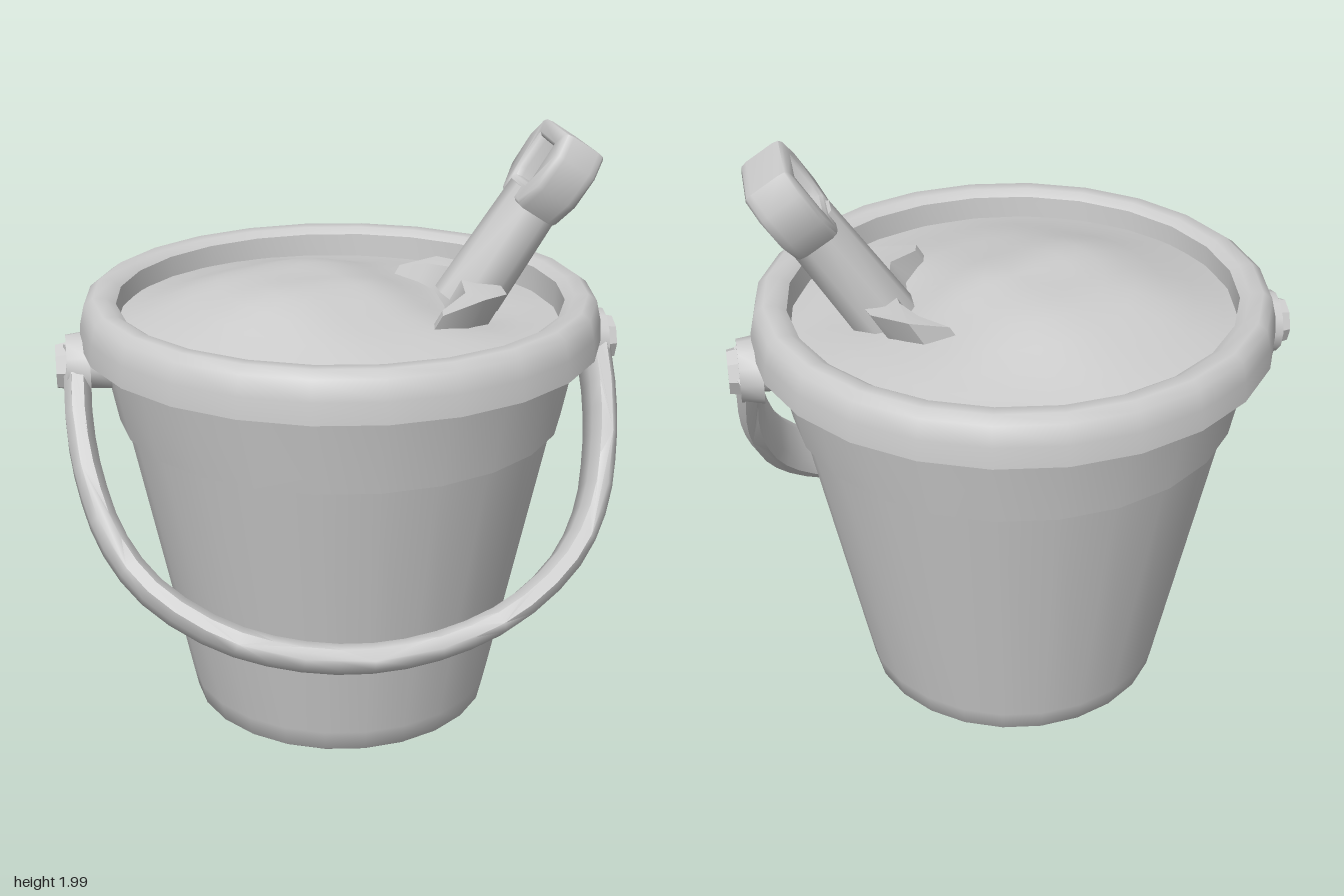
import * as THREE from 'three';
import { toCreasedNormals } from 'three/addons/utils/BufferGeometryUtils.js';

export function createModel() {
  const root = new THREE.Group();
  const mat = new THREE.MeshStandardMaterial({ color: 0xcccccc });
  mat.name = 'plain grey';

  function add(parent, name, geo, crease = 0.7) {
    const mesh = new THREE.Mesh(toCreasedNormals(geo, crease), mat);
    mesh.name = name;
    parent.add(mesh);
    return mesh;
  }
  const v2 = (pts) => pts.map(([x, y]) => new THREE.Vector2(x, y));

  // Bucket: shallow recessed base, tapered wall, stepped band, thick rim, inner wall
  add(root, 'bucket', new THREE.LatheGeometry(v2([
    [0, 0.04], [0.495, 0.04], [0.505, 0.012], [0.515, 0.02], [0.53, 0.09],
    [0.73, 1.06], [0.75, 1.06], [0.805, 1.335], [0.87, 1.33], [0.865, 1.4],
    [0.85, 1.465], [0.82, 1.487], [0.775, 1.485], [0.745, 1.465], [0.735, 1.3],
  ]), 24), 0.9);

  // Sand: a dome whose top sits left of centre, rippled, dipping at the spade
  const sand = new THREE.LatheGeometry(v2([
    [0.75, 1], [0.7, 1], [0.6, 1], [0.5, 1], [0.4, 1], [0.3, 1], [0.2, 1], [0.1, 1], [0, 1],
  ]), 32);
  const p = sand.attributes.position;
  for (let i = 0; i < p.count; i++) {
    const x = p.getX(i), z = p.getZ(i);
    const r2 = (x * x + z * z) / 0.5625;
    const d2 = ((x + 0.15) ** 2 + z * z) / 0.5625;
    const dip = 0.05 * Math.exp(-((x - 0.42) ** 2 + (z - 0.05) ** 2) / 0.06);
    const ripple = 0.012 * Math.sin(9 * x + 4 * z) * Math.cos(11 * z - 3 * x);
    p.setY(i, 1.37 + 0.165 * Math.exp(-1.5 * d2) * (1 - r2 * r2 * 0.6) + (ripple - dip) * (1 - r2));
  }
  add(root, 'sand', sand, 1);

  // Swinging handle: a broad bowed strap hanging forward from the pivots
  const half = [[0.88, 0.03], [0.885, -0.2], [0.86, -0.4], [0.8, -0.6],
    [0.68, -0.78], [0.48, -0.93], [0.25, -1.015]];
  const arc = new THREE.SplineCurve(v2([
    ...half, [0, -1.045], ...half.slice().reverse().map(([x, y]) => [-x, y]),
  ]));
  const outer = [], inner = [];
  for (let i = 0; i <= 32; i++) {
    const c = arc.getPoint(i / 32), t = arc.getTangent(i / 32);
    const n = new THREE.Vector2(-t.y, t.x);
    outer.push(c.clone().addScaledVector(n, 0.02));
    inner.unshift(c.clone().addScaledVector(n, -0.02));
  }
  const bar = new THREE.ExtrudeGeometry(new THREE.Shape([...outer, ...inner]), {
    depth: 0.08, bevelThickness: 0.025, bevelSize: 0.024, bevelSegments: 1,
  });
  bar.translate(0, 0, -0.04);
  const h = bar.attributes.position;
  for (let i = 0; i < h.count; i++) {
    const t = Math.min(1, Math.max(0, -h.getY(i) / 1.05));
    const width = 1.5 - 0.4 * t ** 4;
    h.setZ(i, h.getZ(i) * width - 0.035 * Math.sin(Math.PI * t));
  }
  const handle = new THREE.Group();
  handle.name = 'handle';
  handle.position.set(0, 1.26, 0);
  handle.rotation.x = -0.65;
  root.add(handle);
  add(handle, 'handleBar', bar, 0.9);

  // Pivots: lug on the bucket, round handle end, outer cap
  for (const s of [-1, 1]) {
    const disc = (name, rIn, rOut, x0, x1, sides) => {
      const g = new THREE.CylinderGeometry(rOut, rIn, x1 - x0, sides);
      g.rotateZ(-s * Math.PI / 2);
      g.translate(s * (x0 + x1) / 2, 1.26, 0);
      add(root, name, g);
    };
    disc('pivotLug', 0.085, 0.075, 0.74, 0.87, 10);
    disc('handleEnd', 0.115, 0.105, 0.84, 0.915, 12);
    disc('pivotCap', 0.085, 0.075, 0.9, 0.95, 8);
  }

  // Spade stuck in the sand, leaning to the side
  const spade = new THREE.Group();
  spade.name = 'spade';
  spade.position.set(0.47, 1.48, 0);
  spade.rotation.z = -0.58;
  root.add(spade);

  const shaft = new THREE.CylinderGeometry(0.1, 0.112, 0.44, 8);
  shaft.rotateY(Math.PI / 8);
  shaft.translate(0, 0.13, 0);
  add(spade, 'spadeShaft', shaft, 1);

  const grip = new THREE.Shape(v2([
    [-0.095, 0.31], [0.095, 0.31], [0.15, 0.39], [0.155, 0.5],
    [0.12, 0.565], [-0.12, 0.565], [-0.155, 0.5], [-0.15, 0.39],
  ]));
  grip.holes.push(new THREE.Path(v2([
    [-0.08, 0.36], [-0.095, 0.4], [-0.09, 0.53], [0.09, 0.53], [0.095, 0.4], [0.08, 0.36],
  ])));
  const gripGeo = new THREE.ExtrudeGeometry(grip, {
    depth: 0.1, bevelThickness: 0.03, bevelSize: 0.013, bevelSegments: 2,
  });
  gripGeo.translate(0, 0, -0.05);
  gripGeo.rotateY(Math.PI / 2);
  add(spade, 'spadeGrip', gripGeo, 0.9);

  // Blade: a crescent-shaped scoop, sheared along the spade's lean
  const blade = new THREE.Shape(v2([[0.25, -0.24], [0.38, -0.24], [0.49, -0.15], [0.53, 0.03],
    [0.52, 0.2], [0.42, 0.31], [0.27, 0.36], [0.28, 0.31], [0.38, 0.2],
    [0.4, 0.05], [0.39, -0.1], [0.34, -0.18]]));
  const bladeGeo = new THREE.ExtrudeGeometry(blade, { depth: 0.26, bevelEnabled: false });
  bladeGeo.rotateX(Math.PI / 2);
  const b = bladeGeo.attributes.position;
  for (let i = 0; i < b.count; i++) {
    const x = b.getX(i), y = b.getY(i);
    b.setXYZ(i, x + y * 0.6, y + 1.515 - Math.abs(x - 0.42) * 0.2, b.getZ(i));
  }
  add(root, 'spadeBlade', bladeGeo, 0.7);

  return root;
}
